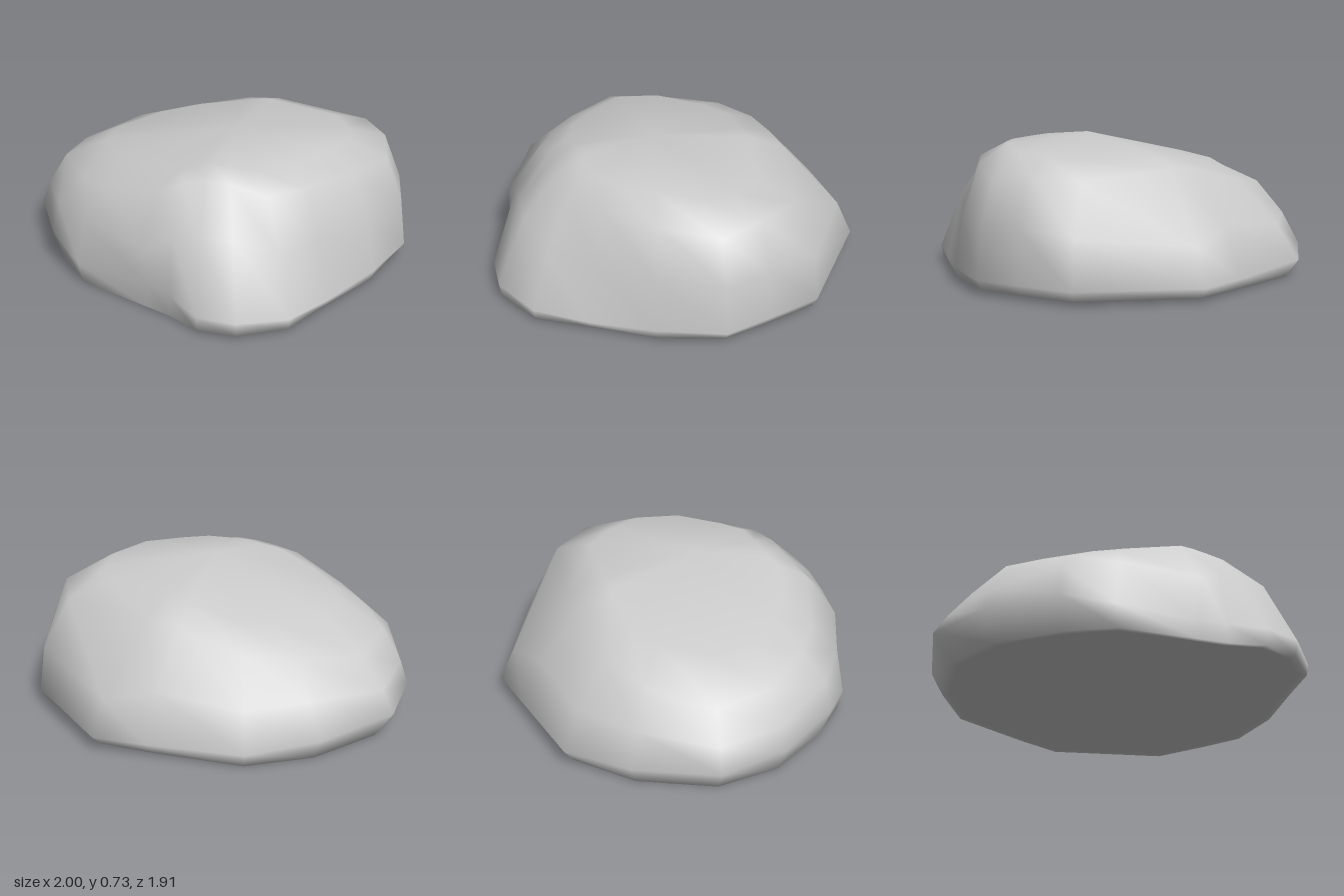
import * as THREE from 'three';

// One upright profile per direction around the boulder:
// [angle in degrees, base radius, lower radius, its height, flank radius, its height, rim radius, its height]
const PROFILES = [
  [-6, 0.97, 1.005, 0.08, 0.975, 0.34, 0.89, 0.56],
  [14, 0.92, 0.935, 0.08, 0.89, 0.34, 0.80, 0.60],
  [36, 0.91, 0.92, 0.06, 0.83, 0.36, 0.74, 0.61],
  [52, 1.0, 1.01, 0.08, 0.89, 0.37, 0.73, 0.61],
  [67, 1.01, 1.025, 0.1, 0.86, 0.44, 0.64, 0.65],
  [78, 0.96, 0.97, 0.1, 0.81, 0.45, 0.60, 0.65],
  [88, 0.85, 0.84, 0.12, 0.80, 0.42, 0.61, 0.63],
  [98, 0.81, 0.78, 0.12, 0.83, 0.34, 0.66, 0.59],
  [127, 0.84, 0.865, 0.12, 0.82, 0.37, 0.68, 0.50],
  [145, 0.84, 0.90, 0.18, 0.86, 0.34, 0.72, 0.47],
  [169, 0.89, 0.96, 0.16, 0.92, 0.28, 0.82, 0.45],
  [190, 0.92, 1.02, 0.15, 0.95, 0.26, 0.83, 0.41],
  [216, 0.90, 0.96, 0.12, 0.87, 0.29, 0.73, 0.46],
  [239, 0.90, 0.965, 0.1, 0.85, 0.28, 0.65, 0.50],
  [270, 0.86, 0.91, 0.08, 0.80, 0.32, 0.57, 0.59],
  [286, 0.93, 1.0, 0.08, 0.92, 0.26, 0.61, 0.60],
  [323, 0.99, 1.02, 0.08, 0.99, 0.32, 0.85, 0.58],
  [340, 0.95, 0.98, 0.08, 0.97, 0.36, 0.88, 0.60],
];

const SUMMIT = new THREE.Vector3(0.13, 0.73, 0.12);

// The underside is flat and tilts up slightly towards +x
const baseHeight = (x) => 0.015 + 0.012 * x;

// The top falls away from the summit: steeply towards -x, gently towards +x
function topHeight(x, z) {
  const dx = x - SUMMIT.x, dz = z - SUMMIT.z;
  return SUMMIT.y - (dx < 0 ? -0.22 : 0.06) * dx - 0.11 * Math.abs(dz);
}

// All points of one profile, from the middle of the underside to the summit
function profilePoints([degrees, baseR, lowR, lowY, flankR, flankY, rimR, rimY]) {
  const a = THREE.MathUtils.degToRad(degrees);
  const at = (r, y) => new THREE.Vector3(r * Math.cos(a), y, r * Math.sin(a));
  const ground = (r) => at(r, baseHeight(r * Math.cos(a)));
  const rim = at(rimR, rimY);
  const crown = rim.clone().lerp(SUMMIT, 0.25);
  crown.y = topHeight(crown.x, crown.z);
  return [
    ground(0), ground(baseR * 0.96), ground(baseR),
    at(lowR, lowY), at(flankR, flankY), rim, crown, SUMMIT,
  ];
}

// Skin between neighbouring profiles, with vertices shared for smooth shading
function boulderGeometry() {
  const columns = PROFILES.map(profilePoints);
  const rows = columns[0].length;
  const last = rows - 1;
  const positions = [...columns[0][0], ...SUMMIT];
  for (const column of columns) {
    for (const p of column.slice(1, last)) positions.push(...p);
  }
  const id = (c, r) => {
    if (r === 0) return 0;
    if (r === last) return 1;
    return 2 + (c % columns.length) * (rows - 2) + r - 1;
  };
  const index = [];
  for (let c = 0; c < columns.length; c++) {
    for (let r = 0; r < last; r++) {
      const a = id(c, r), b = id(c, r + 1), d = id(c + 1, r), e = id(c + 1, r + 1);
      if (r < last - 1) index.push(a, b, e);
      else index.push(a, b, d);
      if (r > 0 && r < last - 1) index.push(a, e, d);
    }
  }
  const geometry = new THREE.BufferGeometry();
  geometry.setAttribute('position', new THREE.Float32BufferAttribute(positions, 3));
  geometry.setIndex(index);
  geometry.computeVertexNormals();
  return geometry;
}

export function createModel() {
  const group = new THREE.Group();
  group.name = 'rock';
  const boulder = new THREE.Mesh(
    boulderGeometry(),
    new THREE.MeshStandardMaterial({ color: 0xcccccc }),
  );
  boulder.name = 'boulder';
  group.add(boulder);
  return group;
}
